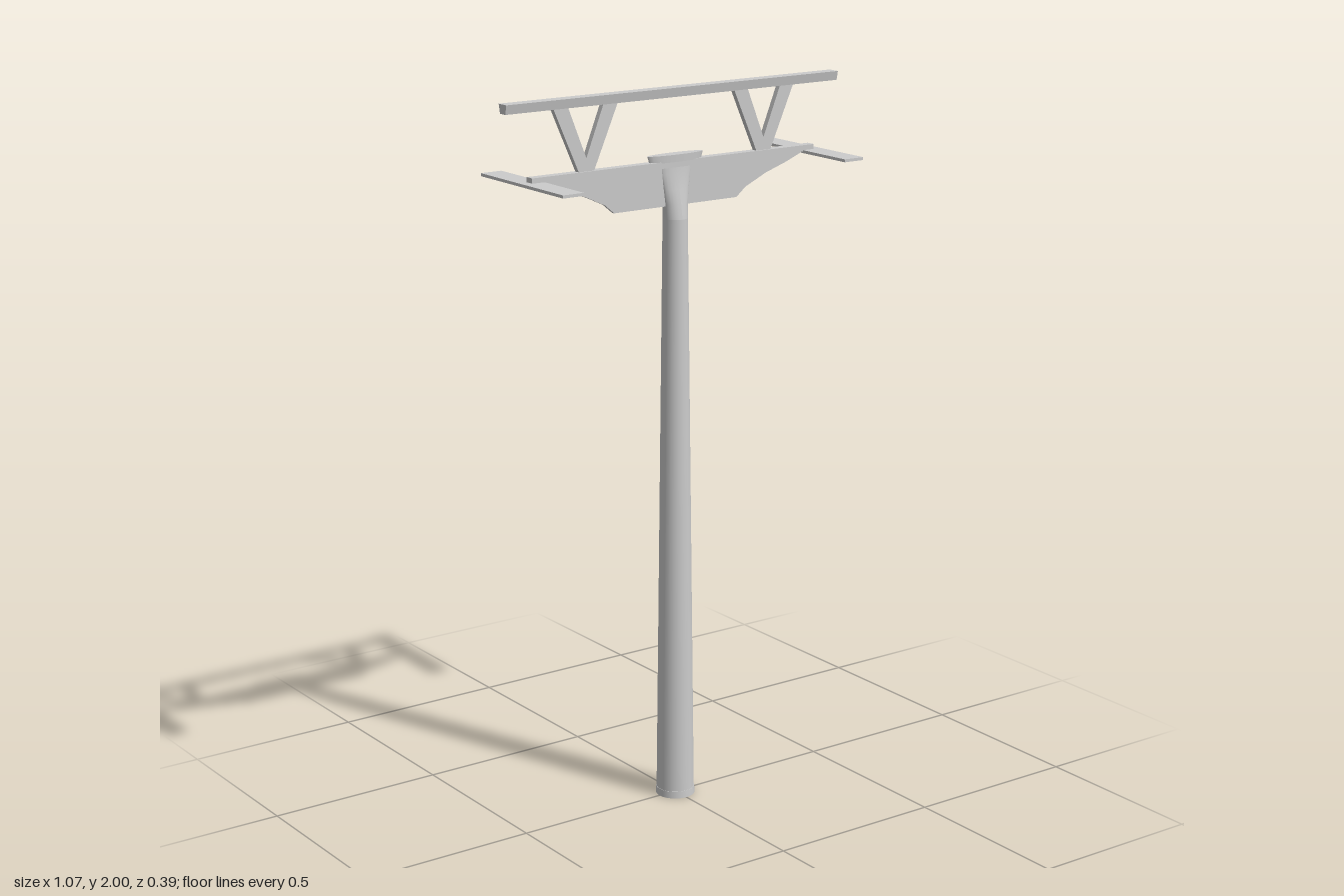
import * as THREE from 'three';

const material = new THREE.MeshStandardMaterial({ color: 0xcccccc });

function add(parent, name, geometry, x = 0, y = 0, z = 0) {
  const mesh = new THREE.Mesh(geometry, material);
  mesh.name = name;
  mesh.position.set(x, y, z);
  parent.add(mesh);
  return mesh;
}

// Flat outline in x/y, extruded evenly about z = 0
function plate(points, depth) {
  const shape = new THREE.Shape(points.map(([x, y]) => new THREE.Vector2(x, y)));
  return new THREE.ExtrudeGeometry(shape, { depth, bevelEnabled: false }).translate(0, 0, -depth / 2);
}

// Elliptical sections [y, radiusX, radiusZ] joined into a smooth skin
function loft(sections, sides = 24) {
  const geometry = new THREE.CylinderGeometry(1, 1, 1, sides, sections.length - 1, true);
  const pos = geometry.attributes.position;
  for (let i = 0; i < pos.count; i++) {
    const row = sections.length - 1 - Math.floor(i / (sides + 1));
    const [y, rx, rz] = sections[row];
    pos.setXYZ(i, pos.getX(i) * rx, y, pos.getZ(i) * rz);
  }
  geometry.computeVertexNormals();
  return geometry;
}

export function createModel() {
  const model = new THREE.Group();
  model.name = 'utilityPole';

  // Tapered pole with a low foot collar
  add(model, 'footCollar', new THREE.CylinderGeometry(0.054, 0.055, 0.02, 24), 0, 0.01);
  add(model, 'pole', new THREE.CylinderGeometry(0.034, 0.053, 1.64, 24), 0, 0.83);

  // Pole head, flattening front to back while it widens sideways
  add(model, 'poleHead', loft([
    [1.65, 0.034, 0.034], [1.69, 0.036, 0.028], [1.73, 0.042, 0.02],
    [1.77, 0.049, 0.014], [1.805, 0.055, 0.012],
  ]));
  const cap = new THREE.CylinderGeometry(0.09, 0.084, 0.02, 24);
  cap.scale(1, 1, 0.2);
  add(model, 'headCap', cap, 0, 1.813);

  // Cross arm: tapering web under a flat flange
  const half = [[0.2, 1.685], [0.23, 1.71], [0.3, 1.742], [0.37, 1.765], [0.42, 1.785], [0.455, 1.79]];
  const mirrored = half.map(([x, y]) => [-x, y]).reverse();
  add(model, 'crossArmWeb', plate([...half, ...mirrored], 0.01));
  add(model, 'crossArmFlange', new THREE.BoxGeometry(0.916, 0.017, 0.026), 0, 1.797);

  // Top rail, slightly narrower underneath
  const rail = new THREE.BoxGeometry(1.07, 0.025, 0.036);
  const pos = rail.attributes.position;
  for (let i = 0; i < pos.count; i++) if (pos.getY(i) < 0) pos.setZ(i, pos.getZ(i) * 0.7);
  rail.computeVertexNormals();
  add(model, 'topRail', rail, 0, 1.9875);

  // One end paddle and one V brace on each side
  for (const side of [-1, 1]) {
    const label = side > 0 ? 'left' : 'right';
    add(model, label + 'Paddle', new THREE.BoxGeometry(0.063, 0.008, 0.39), side * 0.452, 1.788);
    add(model, label + 'Brace', plate([
      [-0.023, 1.803], [0.023, 1.803], [0.1, 1.977], [0.055, 1.977],
      [0, 1.84], [-0.055, 1.977], [-0.1, 1.977],
    ], 0.016), side * 0.288);
  }
  return model;
}
